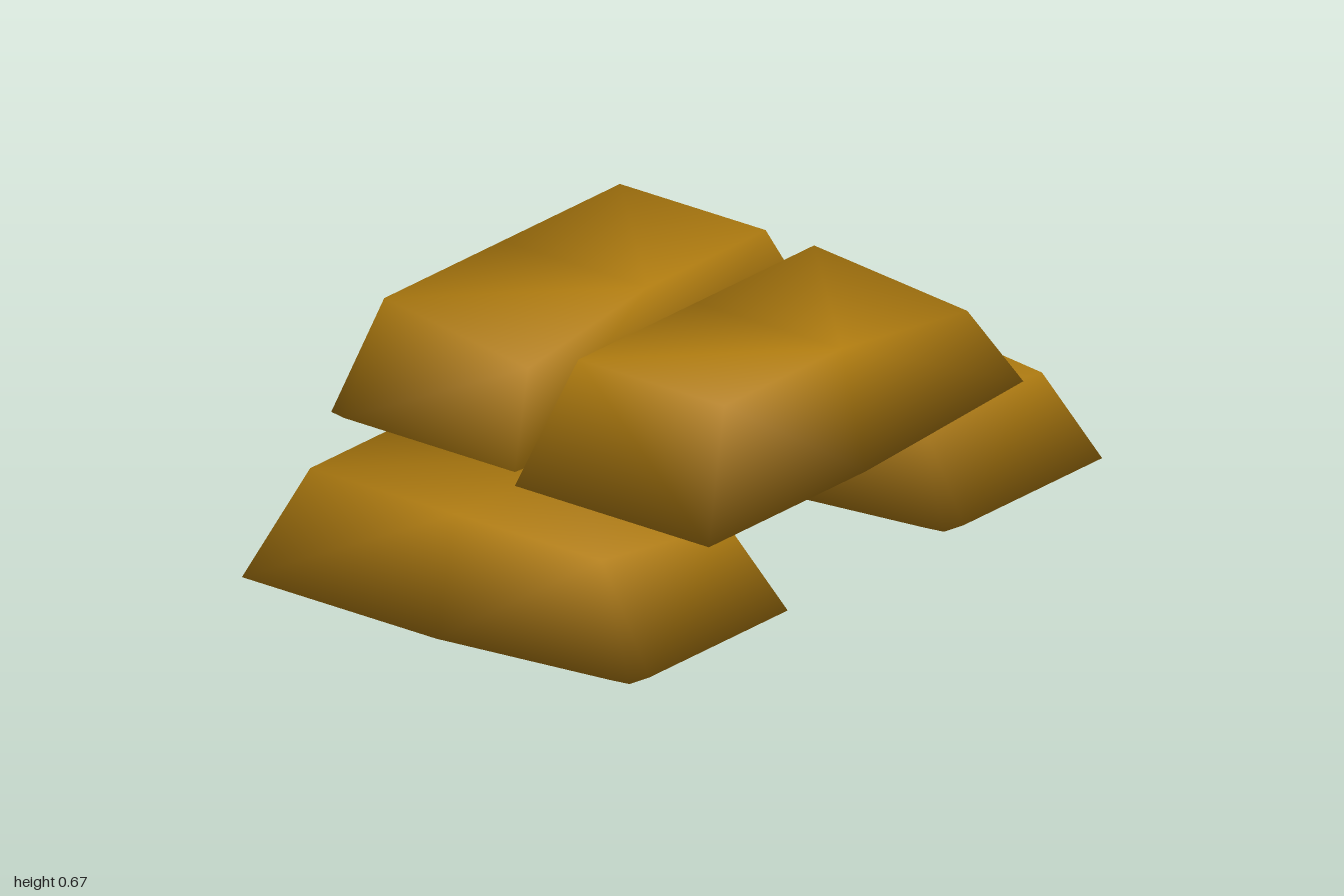
import * as THREE from 'three';

const L = 0.667, W = 0.333, H = 0.333; // half length, half width and height of a bar
const LIP = 0.04;                      // lift of the underside at the worn end

// Base ring [along, across, height]; the corner at (+L, -W) is worn round
const BASE = [
  [-L, -W, 0], [0, -W, 0],
  [L - 0.07, -W, LIP], [L - 0.02, -W + 0.02, LIP - 0.005], [L, -W + 0.08, LIP],
  [L, W, LIP], [0, W, 0], [-L, W, 0],
];
// Top ring; one corner is dented downwards
const TOP = [
  [-0.5, -0.25, H], [0, -0.25, H], [0.5, -0.25, H],
  [0.52, 0.26, H - 0.06], [0, 0.25, H], [-0.5, 0.25, H],
];
const FACES = [
  // sides
  0, 1, 9, 0, 9, 8, 1, 2, 10, 1, 10, 9, 2, 3, 10, 3, 4, 10, 4, 5, 11, 4, 11, 10,
  5, 6, 12, 5, 12, 11, 6, 7, 13, 6, 13, 12, 7, 0, 8, 7, 8, 13,
  // top
  8, 9, 12, 8, 12, 13, 9, 10, 12, 10, 11, 12,
  // underside
  1, 0, 7, 1, 7, 6, 6, 5, 4, 6, 4, 3, 6, 3, 2, 6, 2, 1,
];

// place() turns (along, across) into [x, z]; mirrored placements swap the winding
function barGeometry(place, mirrored) {
  const points = [...BASE, ...TOP].flatMap(([a, b, y]) => {
    const [x, z] = place(a, b);
    return [x, y, z];
  });
  const index = mirrored ? [...FACES].reverse() : FACES;
  const geometry = new THREE.BufferGeometry();
  geometry.setAttribute('position', new THREE.Float32BufferAttribute(points, 3));
  geometry.setIndex([...index]);
  geometry.computeVertexNormals();
  return geometry;
}

export function createModel() {
  const model = new THREE.Group();
  model.name = 'stackOfBars';
  const gold = new THREE.MeshStandardMaterial({ color: 0xb07c10 });
  gold.name = 'gold';

  const addBar = (name, x, y, z, place, mirrored) => {
    const bar = new THREE.Mesh(barGeometry(place, mirrored), gold);
    bar.name = name;
    bar.position.set(x, y, z);
    model.add(bar);
  };

  // Lower pair runs front to back
  const lengthways = (a, b) => [b, a];
  addBar('lowerBarRight', -0.667, 0, 0, lengthways, false);
  addBar('lowerBarLeft', 0.667, 0, 0, lengthways, false);

  // Upper pair lies across, worn ends on opposite sides
  addBar('upperBarFront', 0, H, 0.333, (a, b) => [a, b], true);
  addBar('upperBarBack', 0, H, -0.333, (a, b) => [-a, b], false);

  return model;
}
